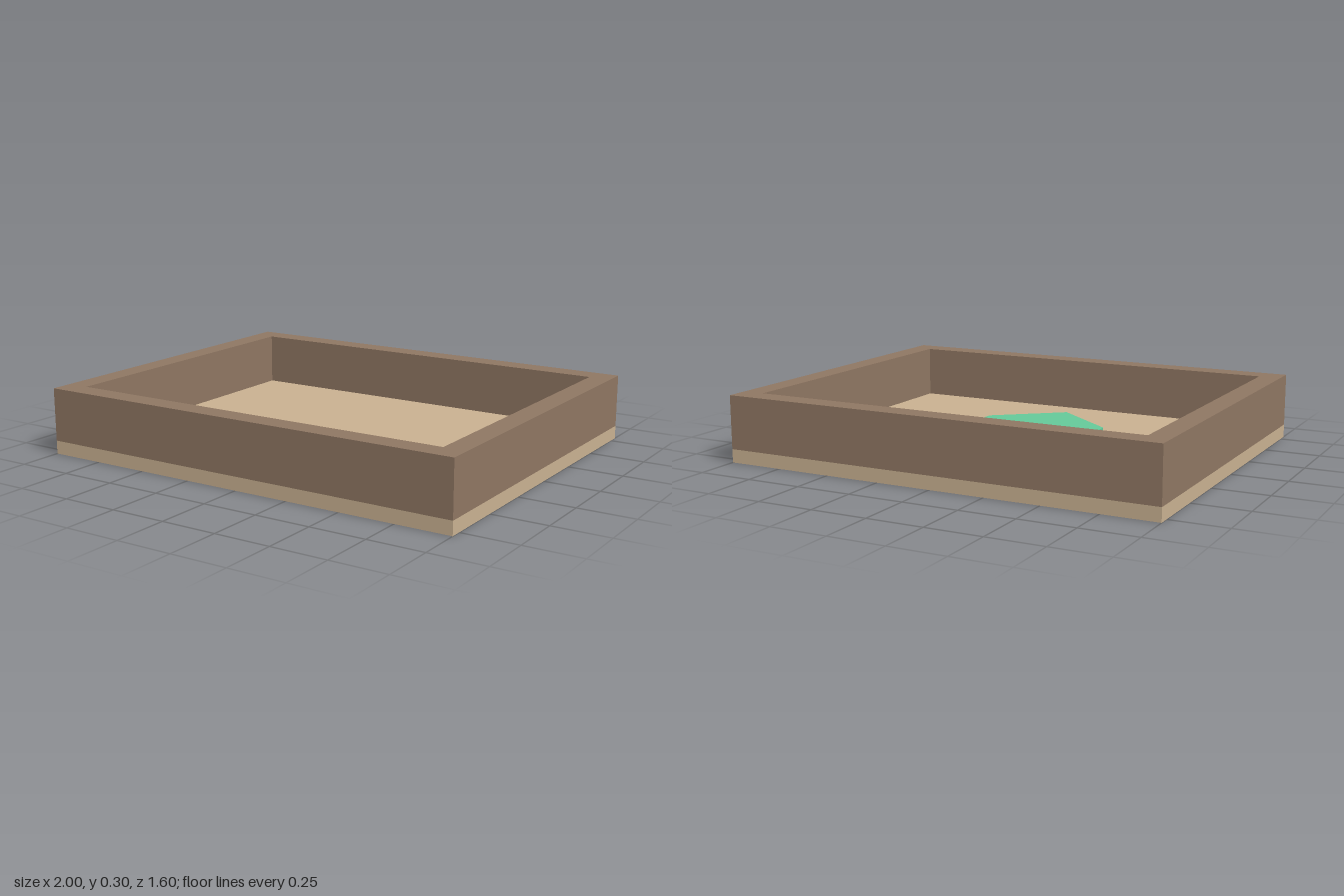
import * as THREE from 'three';

const floorMat = new THREE.MeshStandardMaterial({ name: 'sand', color: 0xc8b090 });
const wallMat = new THREE.MeshStandardMaterial({ name: 'brown', color: 0x8e7662 });
const plateMat = new THREE.MeshStandardMaterial({ name: 'green', color: 0x64c898 });

const W = 2, D = 1.6, H = 0.3, FLOOR = 0.06, WALL = 0.1;

// Closed outline from [x, z] points; z is flipped so that slab() lays it flat.
const outline = (pts) => pts.map(([x, z]) => new THREE.Vector2(x, -z));
const rect = (w, d) => outline([[-w / 2, d / 2], [w / 2, d / 2], [w / 2, -d / 2], [-w / 2, -d / 2]]);

// Flat outline extruded upward from height y.
function slab(name, shape, y, height, material) {
  const geometry = new THREE.ExtrudeGeometry(shape, { depth: height, bevelEnabled: false });
  geometry.rotateX(-Math.PI / 2);
  const mesh = new THREE.Mesh(geometry, material);
  mesh.name = name;
  mesh.position.y = y;
  return mesh;
}

export function createModel() {
  const group = new THREE.Group();
  group.name = 'tray';

  // Base board
  const floor = new THREE.Mesh(new THREE.BoxGeometry(W, FLOOR, D), floorMat);
  floor.name = 'floor';
  floor.position.y = FLOOR / 2;
  group.add(floor);

  // Four walls as one frame
  const frame = new THREE.Shape(rect(W, D));
  frame.holes.push(new THREE.Path(rect(W - 2 * WALL, D - 2 * WALL)));
  group.add(slab('walls', frame, FLOOR, H - FLOOR, wallMat));

  // Five-sided plate lying on the floor, pointing to the front
  const plate = new THREE.Shape(outline([[0, 0.5], [0.3, 0.26], [0.3, 0.2], [-0.3, 0.2], [-0.3, 0.26]]));
  group.add(slab('pointedPlate', plate, FLOOR, 0.02, plateMat));

  return group;
}
